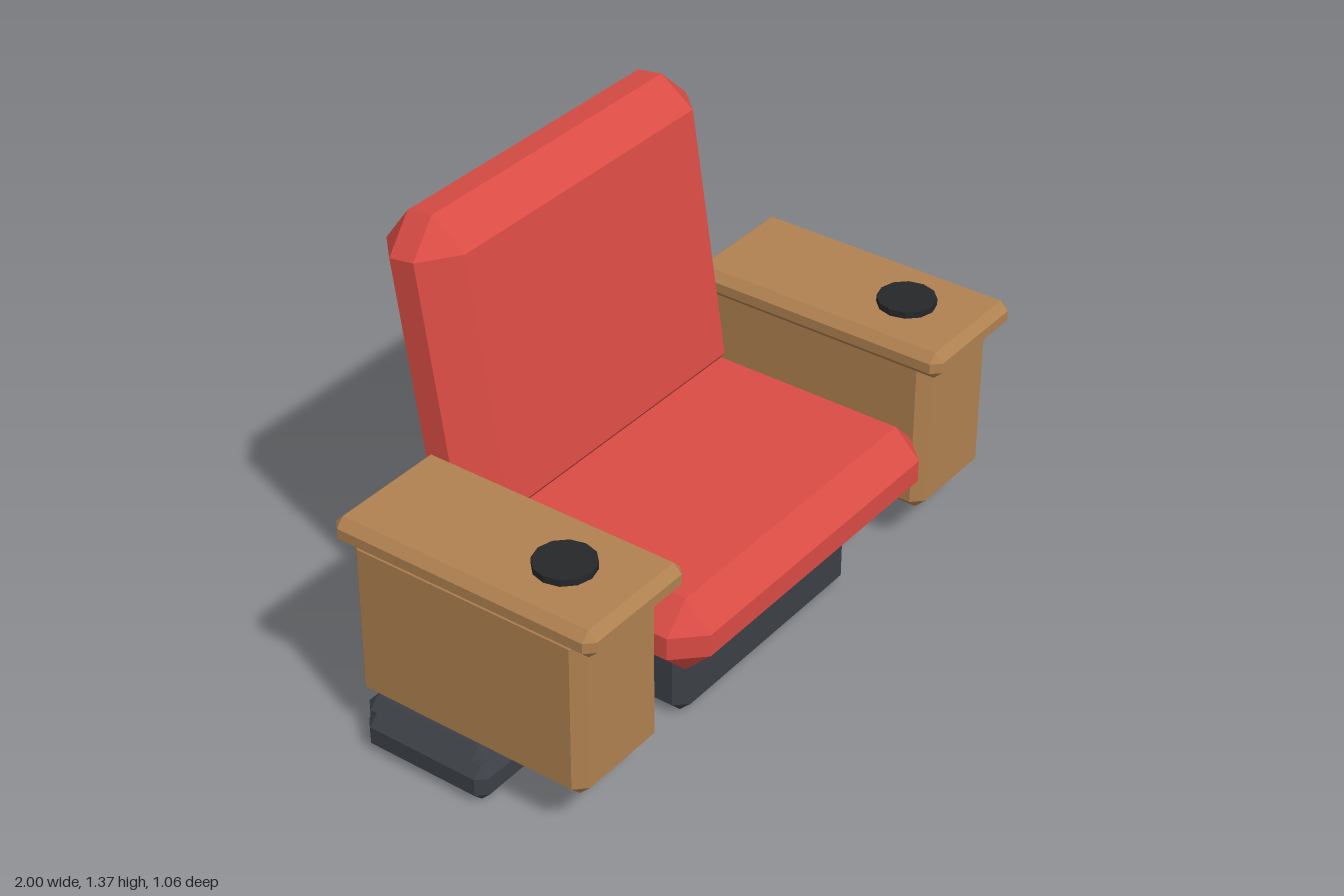
import * as THREE from 'three';
import { ConvexGeometry } from 'three/addons/geometries/ConvexGeometry.js';

const material = (color) => new THREE.MeshStandardMaterial({ color, flatShading: true });

// Box with every edge and corner cut flat by c, centred on its own origin
function chamferBox(w, h, d, c) {
  const points = [];
  for (const x of [-1, 1]) for (const y of [-1, 1]) for (const z of [-1, 1]) {
    const X = w / 2, Y = h / 2, Z = d / 2;
    points.push(
      new THREE.Vector3(x * X, y * (Y - c), z * (Z - c)),
      new THREE.Vector3(x * (X - c), y * Y, z * (Z - c)),
      new THREE.Vector3(x * (X - c), y * (Y - c), z * Z));
  }
  return new ConvexGeometry(points);
}

export function createModel() {
  const model = new THREE.Group();
  model.name = 'reclinerChair';
  const red = material(0xd94c44);
  const wood = material(0xb08150);
  const dark = material(0x3c4046);
  const black = material(0x25272a);

  // Chamfered block between two limits on each axis
  function block(name, [x0, x1], [y0, y1], [z0, z1], chamfer, mat) {
    const mesh = new THREE.Mesh(chamferBox(x1 - x0, y1 - y0, z1 - z0, chamfer), mat);
    mesh.position.set((x0 + x1) / 2, (y0 + y1) / 2, (z0 + z1) / 2);
    mesh.name = name;
    model.add(mesh);
    return mesh;
  }

  // Base
  block('baseBar', [-1, 1], [0, 0.11], [-0.25, 0.165], 0.028, dark);
  block('basePedestal', [-0.4, 0.4], [0, 0.235], [-0.17, 0.37], 0.036, dark);

  // Seat cushion and reclined backrest
  block('seatCushion', [-0.578, 0.578], [0.277, 0.51], [-0.29, 0.53], 0.082, red);
  const back = new THREE.Mesh(chamferBox(1.175, 0.957, 0.273, 0.095), red);
  back.name = 'backrest';
  back.position.set(0, 0.889, -0.336);
  back.rotation.x = -Math.PI / 20;
  model.add(back);

  // Arms, mirrored left and right
  for (const [side, s] of [['left', 1], ['right', -1]]) {
    const span = (a, b) => (s > 0 ? [a, b] : [-b, -a]);
    block(side + 'Foot', span(0.6, 0.97), [0, 0.14], [-0.275, 0.135], 0.03, dark);
    block(side + 'ArmBox', span(0.62, 0.96), [0.14, 0.66], [-0.3, 0.465], 0.034, wood);
    block(side + 'ArmTop', span(0.585, 0.985), [0.632, 0.715], [-0.332, 0.52], 0.026, wood);

    const cup = new THREE.Mesh(new THREE.CylinderGeometry(0.087, 0.087, 0.04, 12), black);
    cup.name = side + 'CupHolder';
    cup.position.set(s * 0.787, 0.715, 0.285);
    model.add(cup);
  }
  return model;
}
